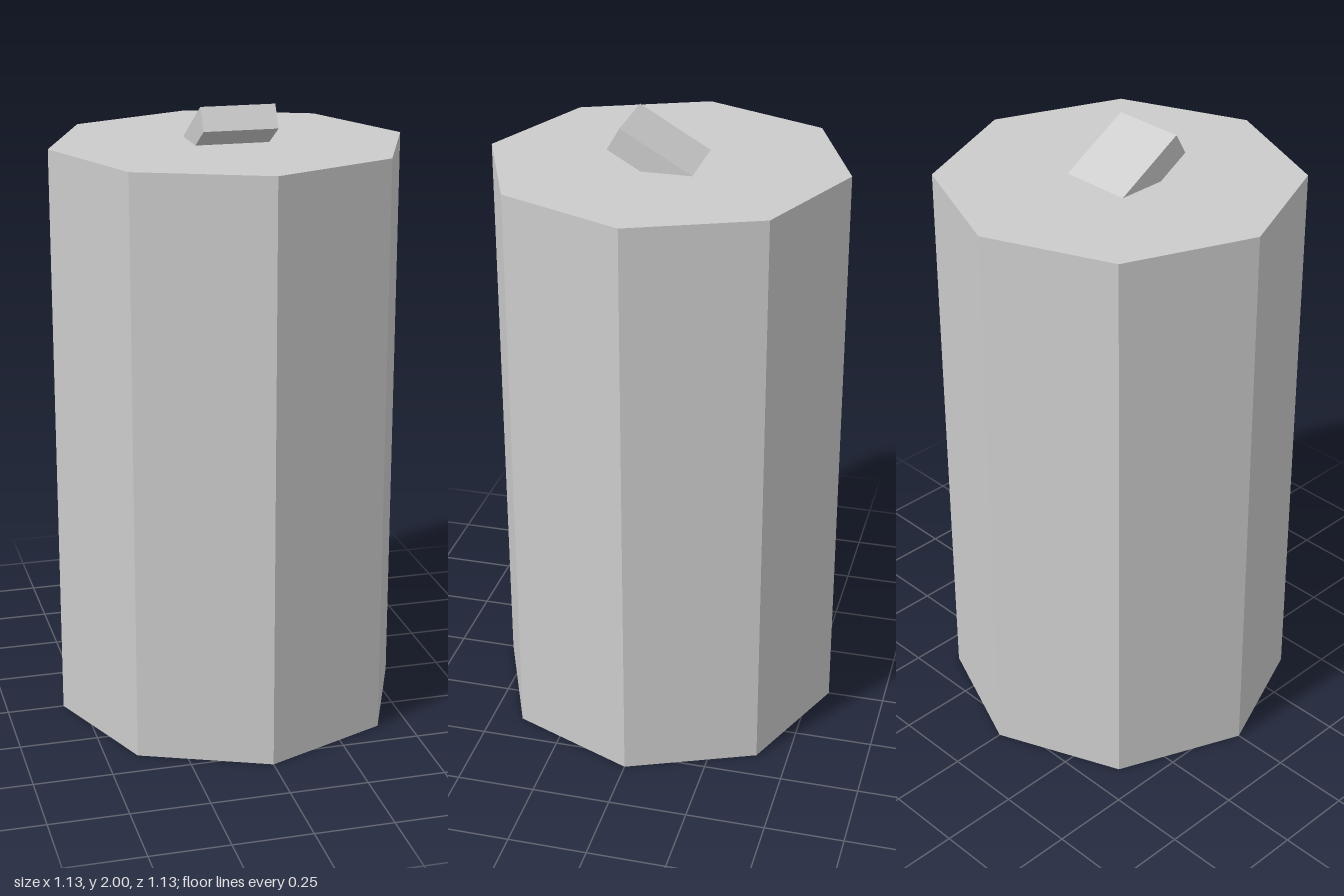
import * as THREE from 'three';

export function createModel() {
  const model = new THREE.Group();
  const material = new THREE.MeshStandardMaterial({ color: 0xcccccc, flatShading: true });

  const addPart = (name, geometry, y) => {
    const mesh = new THREE.Mesh(geometry, material);
    mesh.name = name;
    mesh.position.y = y;
    model.add(mesh);
    return mesh;
  };

  // Eight-sided can, one corner facing the front
  const radius = 0.565, height = 1.87;
  addPart('canBody', new THREE.CylinderGeometry(radius, radius, height, 8), height / 2);

  // Pull tab, tilted up at the front with its back end sunk into the lid
  const tab = addPart('pullTab', new THREE.BoxGeometry(0.235, 0.08, 0.323), 1.884);
  tab.rotation.x = -Math.PI / 6;

  return model;
}
